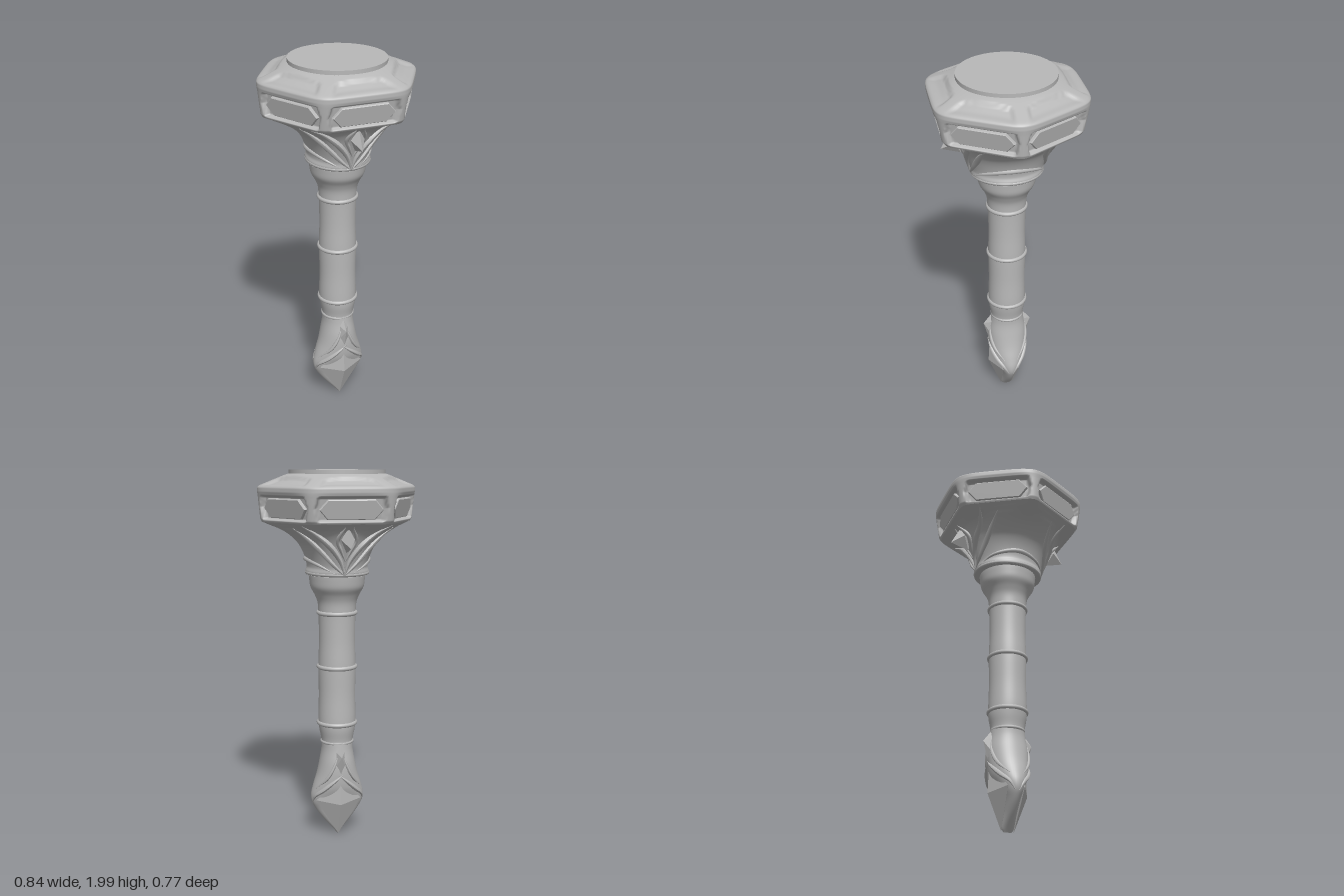
import * as THREE from 'three';
import { ConvexGeometry } from 'three/addons/geometries/ConvexGeometry.js';

const step = THREE.MathUtils.smoothstep;
const SIXTH = Math.PI / 3;

// radius of a rounded hexagon (flats facing +z / -z); p = 2 is a circle, larger p is sharper
const hex = (a, p) => {
  let s = 0;
  for (let k = 0; k < 3; k++) s += Math.abs(Math.cos(a - k * SIXTH)) ** p;
  return s ** (-1 / p);
};

// point on a section with half width w, half depth d
const sectionPoint = (a, y, w, d, p) => {
  const r = hex(a, p);
  return new THREE.Vector3(w * Math.sin(a) * r / hex(Math.PI / 2, p), y, d * Math.cos(a) * r / hex(0, p));
};

// surface through rows of [height, half width, half depth, sharpness]; returns a point lookup
function makeSurface(rows) {
  return (a, y) => {
    let i = 0;
    while (i < rows.length - 2 && y > rows[i + 1][0]) i++;
    const [r0, r1] = [rows[i], rows[i + 1]];
    const t = THREE.MathUtils.clamp((y - r0[0]) / (r1[0] - r0[0]), 0, 1);
    const v = [1, 2, 3].map((k) => THREE.MathUtils.lerp(r0[k] ?? 2, r1[k] ?? 2, t));
    return sectionPoint(a, y, v[0], v[1], v[2]);
  };
}

// smooth extra rows between the given ones
function smoothRows(rows, n) {
  const size = new THREE.CatmullRomCurve3(rows.map((r) => new THREE.Vector3(...r.slice(0, 3))));
  return Array.from({ length: n + 1 }, (_, i) => {
    const v = size.getPoint(i / n);
    const f = i / n * (rows.length - 1), k = Math.min(Math.floor(f), rows.length - 2);
    return [v.x, v.y, v.z, THREE.MathUtils.lerp(rows[k][3] ?? 2, rows[k + 1][3] ?? 2, f - k)];
  });
}

// closed skin over a surface at the listed heights
function skin(surface, heights, sides, shape = (v) => v) {
  const pos = [], index = [];
  heights.forEach((y, j) => {
    for (let i = 0; i < sides; i++) {
      pos.push(...shape(surface(i / sides * Math.PI * 2, y)).toArray());
      if (j === heights.length - 1) continue;
      const a = j * sides + i, b = j * sides + (i + 1) % sides;
      index.push(a, b, b + sides, a, b + sides, a + sides);
    }
  });
  const g = new THREE.BufferGeometry();
  g.setAttribute('position', new THREE.Float32BufferAttribute(pos, 3));
  g.setIndex(index);
  g.computeVertexNormals();
  return g;
}

// tapered ridge lying on a surface along [angle, height] points
function ridge(surface, path, radius) {
  const curve = new THREE.CatmullRomCurve3(path.map(([a, y]) => surface(a, y)));
  const g = new THREE.TubeGeometry(curve, 24, radius, 8);
  const p = g.attributes.position, v = new THREE.Vector3();
  for (let i = 0; i < p.count; i++) {
    const t = Math.floor(i / 9) / 24;
    const c = curve.getPointAt(t);
    v.fromBufferAttribute(p, i).sub(c).multiplyScalar(0.15 + 0.85 * Math.sin(Math.PI * t)).add(c);
    p.setXYZ(i, v.x, v.y, v.z);
  }
  g.computeVertexNormals();
  return g;
}

const facets = (pts) => new ConvexGeometry(pts.map((p) => new THREE.Vector3(...p)));

export function createModel() {
  const model = new THREE.Group();
  const stone = new THREE.MeshStandardMaterial({ color: 0xb8b8b8 });
  stone.name = 'greyStone';
  const add = (name, geometry, parent = model) => {
    const m = new THREE.Mesh(geometry, stone);
    m.name = name;
    parent.add(m);
    return m;
  };
  const heightsOf = (rows) => rows.map((r) => r[0]);

  // handle shaft with three rings
  const shaft = smoothRows([[0.5, 0.085, 0.09], [0.55, 0.086, 0.09], [0.61, 0.097, 0.1], [0.65, 0.102, 0.102],
    [0.8, 0.099, 0.099], [0.96, 0.101, 0.101], [1.1, 0.097, 0.098], [1.25, 0.1, 0.102], [1.31, 0.105, 0.107],
    [1.35, 0.121, 0.122], [1.39, 0.142, 0.146], [1.43, 0.148, 0.154], [1.47, 0.152, 0.158]], 60);
  add('handle', skin(makeSurface(shaft), heightsOf(shaft), 48));
  for (const y of [0.645, 0.957, 1.25]) {
    const ring = add('handleRing', new THREE.TorusGeometry(0.099, 0.012, 10, 48));
    ring.rotation.x = Math.PI / 2;
    ring.position.y = y;
  }
  const lowRing = add('pommelRing', new THREE.TorusGeometry(0.083, 0.009, 10, 40));
  lowRing.rotation.x = Math.PI / 2;
  lowRing.position.y = 0.54;

  // pommel body
  const pommelRows = smoothRows([[0.008, 0.004, 0.02], [0.025, 0.018, 0.032], [0.1, 0.082, 0.04], [0.16, 0.124, 0.05],
    [0.2, 0.143, 0.064], [0.24, 0.146, 0.08], [0.29, 0.134, 0.098], [0.36, 0.112, 0.107], [0.43, 0.097, 0.106],
    [0.5, 0.086, 0.095], [0.55, 0.086, 0.09]], 60);
  const pommel = makeSurface(pommelRows);
  add('pommel', skin(pommel, heightsOf(pommelRows), 48));

  // flared neck below the head, round at the collar and six-sided above
  const neckRows = smoothRows([[1.456, 0.145, 0.15], [1.457, 0.164, 0.185], [1.475, 0.167, 0.191], [1.5, 0.16, 0.192],
    [1.56, 0.174, 0.212], [1.62, 0.206, 0.236], [1.67, 0.258, 0.262, 3], [1.7, 0.31, 0.283, 5],
    [1.72, 0.36, 0.31, 12], [1.737, 0.398, 0.345, 24]], 60);
  const neck = makeSurface(neckRows);
  add('neck', skin(neck, heightsOf(neckRows), 72));

  // ornaments shared by front and back
  for (const turn of [0, Math.PI]) {
    const side = new THREE.Group();
    side.name = turn ? 'backOrnaments' : 'frontOrnaments';
    side.rotation.y = turn;
    model.add(side);
    add('pommelGem', facets([[0, 0.012, 0.034], [-0.125, 0.215, 0.045], [0.125, 0.215, 0.045], [0, 0.35, 0.1],
      [0, 0.2, 0.108], [0, 0.2, 0]]), side);
    add('pommelSpike', facets([[0, 0.475, 0.134], [-0.028, 0.5, 0.08], [0.028, 0.5, 0.08], [0, 0.54, 0.085],
      [-0.03, 0.41, 0.095], [0.03, 0.41, 0.095], [0, 0.37, 0.106]]), side);
    add('neckSpike', facets([[0, 1.715, 0.285], [0, 1.615, 0.337], [-0.036, 1.655, 0.27], [0.036, 1.655, 0.27],
      [0, 1.585, 0.235], [0, 1.65, 0.22]]), side);
    for (const s of [-1, 1]) {
      const on = (path) => path.map(([a, y]) => [a * s, y]);
      add('gemFrame', ridge(pommel, on([[-0.1, 0.37], [0.3, 0.33], [0.7, 0.28], [1.1, 0.235], [1.4, 0.19]]), 0.013), side);
      add('pommelLeaf', ridge(pommel, on([[0.12, 0.49], [0.35, 0.42], [0.65, 0.35], [1.2, 0.28]]), 0.01), side);
      add('neckLeaf', ridge(neck, on([[0, 1.465], [0.14, 1.54], [0.4, 1.62], [0.6, 1.68], [0.72, 1.725]]), 0.018), side);
      add('neckOuterLeaf', ridge(neck, on([[0, 1.465], [0.35, 1.52], [0.72, 1.6], [0.9, 1.67], [1.0, 1.71]]), 0.016), side);
      add('innerLeaf', ridge(neck, on([[0, 1.54], [0.14, 1.6], [0.2, 1.65], [0.06, 1.72]]), 0.011), side);
    }
  }

  // curved collar leaves on the left and right
  for (const s of [-1, 1]) {
    add('collarLeaf', ridge(neck, [[0.3, 1.475], [0.85, 1.515], [1.57, 1.54], [2.29, 1.515], [2.84, 1.475]]
      .map(([a, y]) => [a * s, y]), 0.013));
  }
  const collar = add('collarRim', new THREE.TorusGeometry(0.16, 0.01, 10, 60));
  collar.rotation.x = Math.PI / 2;
  collar.scale.y = 1.13;
  collar.position.y = 1.467;

  // six-sided head, with recesses pressed into its walls and sloping top
  const head = makeSurface([[1.735, 0.397, 0.343, 24], [1.75, 0.405, 0.354, 24], [1.865, 0.416, 0.378, 16],
    [1.89, 0.419, 0.386, 12], [1.912, 0.418, 0.386, 12], [1.922, 0.405, 0.375, 11], [1.95, 0.335, 0.318, 7],
    [1.975, 0.268, 0.265, 3], [1.985, 0.235, 0.235, 2]]);
  const press = (v) => {
    const k = Math.round(Math.atan2(v.x, v.z) / SIXTH) * SIXTH;
    const [s, c] = [Math.sin(k), Math.cos(k)];
    const out = v.x * s + v.z * c, across = Math.abs(v.x * c - v.z * s);
    if (v.y < 1.9) {
      // wall recess
      const half = 0.187 - 0.25 * Math.abs(v.y - 1.815);
      const m = step(v.y, 1.745, 1.757) * (1 - step(v.y, 1.862, 1.874)) * (1 - step(across, half - 0.014, half));
      v.x -= 0.027 * m * s;
      v.z -= 0.027 * m * c;
    } else {
      // top recess
      const half = out * 0.577 - 0.03;
      v.y -= 0.014 * step(out, 0.284, 0.294) * (1 - step(out, 0.325, 0.38)) * (1 - step(across, half - 0.03, half));
    }
    return v;
  };
  const headHeights = Array.from({ length: 64 }, (_, i) => 1.735 + 0.25 * i / 63);
  add('head', skin(head, headHeights, 288, press));

  // round cap on top
  add('cap', new THREE.CylinderGeometry(0.252, 0.252, 0.03, 72)).position.y = 1.985;

  // long six-sided plates set in the wall recesses
  const outline = new THREE.Shape([[-0.158, 0], [-0.118, -0.046], [0.118, -0.046], [0.158, 0], [0.118, 0.046],
    [-0.118, 0.046]].map((p) => new THREE.Vector2(...p)));
  const plate = new THREE.ExtrudeGeometry(outline, { depth: 0.012, bevelSize: 0.004, bevelThickness: 0.004, bevelSegments: 1 });
  for (let k = 0; k < 6; k++) {
    const panel = new THREE.Group();
    panel.name = 'wallPanel';
    panel.rotation.y = k * SIXTH;
    model.add(panel);
    const m = add('wallPlate', plate, panel);
    m.position.set(0, 1.81, 0.342);
    m.rotation.x = 0.2;
  }
  return model;
}
